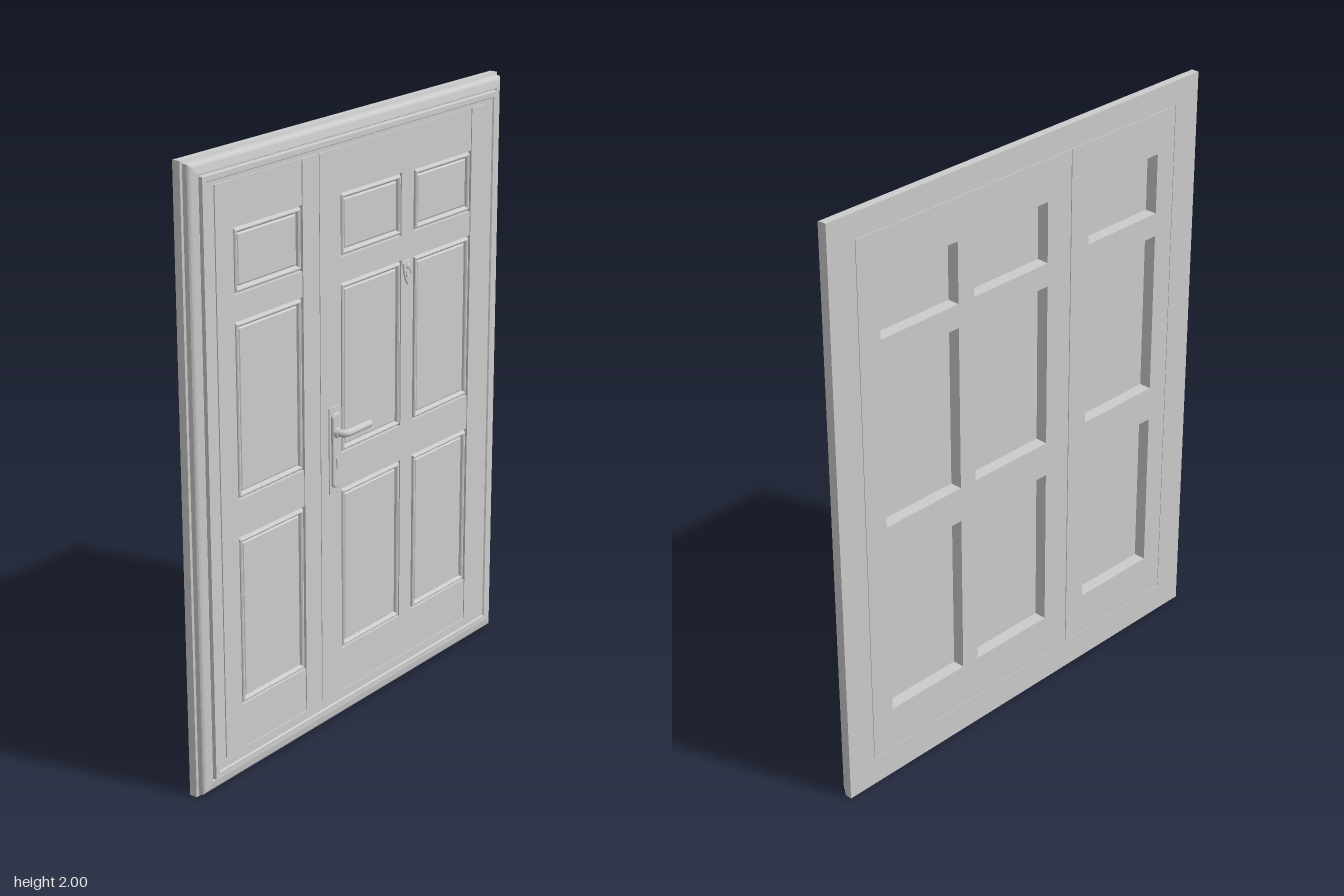
import * as THREE from 'three';

const mat = new THREE.MeshStandardMaterial({ color: 0xcccccc });

function add(parent, name, geo, x = 0, y = 0, z = 0) {
  const m = new THREE.Mesh(geo, mat);
  m.name = name;
  m.position.set(x, y, z);
  parent.add(m);
  return m;
}

// Box given by its limits
function board(parent, name, x0, x1, y0, y1, z0, z1) {
  return add(parent, name, new THREE.BoxGeometry(x1 - x0, y1 - y0, z1 - z0),
    (x0 + x1) / 2, (y0 + y1) / 2, (z0 + z1) / 2);
}

// Rectangular ring, inset from the limits, at depth z
function ring([x0, x1, y0, y1], inset, z) {
  const i = inset;
  return [[x0 + i, y0 + i, z], [x1 - i, y0 + i, z], [x1 - i, y1 - i, z], [x0 + i, y1 - i, z]];
}

// Mitred moulding: joins successive rings, optionally capped front and back
function mitred(rings, capped) {
  const pos = [];
  const quad = (a, b, c, d) => pos.push(...a, ...b, ...c, ...a, ...c, ...d);
  for (let r = 0; r < rings.length - 1; r++) {
    for (let k = 0; k < 4; k++) {
      const n = (k + 1) % 4;
      quad(rings[r][k], rings[r][n], rings[r + 1][n], rings[r + 1][k]);
    }
  }
  if (capped) {
    quad(...rings[rings.length - 1]);
    quad(...[...rings[0]].reverse());
  }
  const g = new THREE.BufferGeometry();
  g.setAttribute('position', new THREE.Float32BufferAttribute(pos, 3));
  g.computeVertexNormals();
  return g;
}

// Rectangle with rounded corners, extruded with a small bevel
function roundedPlate(w, h, r, depth, bevel) {
  const s = new THREE.Shape();
  const a = w / 2 - bevel, b = h / 2 - bevel;
  s.absarc(a - r, b - r, r, 0, Math.PI / 2);
  s.absarc(-a + r, b - r, r, Math.PI / 2, Math.PI);
  s.absarc(-a + r, -b + r, r, Math.PI, Math.PI * 1.5);
  s.absarc(a - r, -b + r, r, Math.PI * 1.5, Math.PI * 2);
  return new THREE.ExtrudeGeometry(s, {
    depth: depth - bevel, bevelEnabled: true, bevelSize: bevel, bevelThickness: bevel, bevelSegments: 3, curveSegments: 8,
  });
}

export function createModel() {
  const model = new THREE.Group();
  model.name = 'doubleDoor';
  // Built facing +z, then turned to face +x
  const door = new THREE.Group();
  door.name = 'door';
  door.rotation.y = Math.PI / 2;
  model.add(door);

  const back = -0.06;

  // Stepped casing around the leaves
  const outer = [-0.79, 0.79, 0, 2];
  const inner = [-0.685, 0.685, 0.1, 1.917];
  const casing = [
    [0, back], [0, -0.033], [0.008, -0.031], [0.01, -0.016], [0.014, -0.011], [0.02, -0.008],
    [0.044, -0.004], [0.046, -0.008], [0.05, -0.008], [0.052, 0.004], [0.068, 0.004], [0.071, -0.001],
  ].map(([i, z]) => ring(outer, i, z));
  casing.push(ring(inner, 0, -0.001), ring(inner, 0, back), ring(outer, 0, back));
  add(door, 'casing', mitred(casing, false));

  // Upright stiles of the narrow and the wide leaf
  for (const [x0, x1] of [[-0.683, -0.605], [-0.285, -0.206], [-0.203, -0.1], [0.6, 0.683]]) {
    board(door, 'stile', x0, x1, 0.102, 1.915, back, 0.001);
  }

  // Cross rails, slightly behind the stiles
  const leaves = [[-0.605, -0.285], [-0.1, 0.6]];
  for (const [x0, x1] of leaves) {
    for (const [y0, y1] of [[0.102, 0.25], [0.81, 0.93], [1.49, 1.57], [1.775, 1.915]]) {
      board(door, 'rail', x0, x1, y0, y1, back, -0.002);
    }
  }

  // Raised panels with mouldings; open pockets remain behind them
  const rows = [[0.25, 0.81], [0.93, 1.49], [1.57, 1.775]];
  const columns = [[-0.605, -0.285], [-0.1, 0.22], [0.285, 0.6]];
  const panelProfile = [
    [0, -0.018], [0, -0.011], [0.006, -0.011], [0.008, -0.002], [0.011, 0.001], [0.015, 0.001],
    [0.019, -0.003], [0.021, -0.01], [0.024, -0.01], [0.028, -0.005],
  ];
  for (const [y0, y1] of rows) {
    board(door, 'muntin', 0.22, 0.285, y0, y1, back, -0.003);
    for (const [x0, x1] of columns) {
      const rings = panelProfile.map(([i, z]) => ring([x0, x1, y0, y1], i, z));
      add(door, 'panel', mitred(rings, true));
    }
  }

  // Lever handle on its backplate
  const handle = new THREE.Group();
  handle.name = 'handle';
  handle.position.set(-0.137, 0, 0);
  door.add(handle);
  add(handle, 'backplate', roundedPlate(0.056, 0.29, 0.003, 0.005, 0.001), 0, 0.955, 0);
  add(handle, 'raisedPlate', roundedPlate(0.04, 0.25, 0.01, 0.014, 0.006), 0, 0.955, 0);
  add(handle, 'rosette', new THREE.CylinderGeometry(0.015, 0.018, 0.012, 24), 0, 1.015, 0.018).rotation.x = Math.PI / 2;
  const path = new THREE.CurvePath();
  const v = (x, z) => new THREE.Vector3(x, 1.015, z);
  path.add(new THREE.LineCurve3(v(0, 0.005), v(0, 0.02)));
  path.add(new THREE.QuadraticBezierCurve3(v(0, 0.02), v(0, 0.043), v(0.026, 0.043)));
  path.add(new THREE.LineCurve3(v(0.026, 0.043), v(0.128, 0.043)));
  add(handle, 'lever', new THREE.TubeGeometry(path, 40, 0.012, 16));
  add(handle, 'leverTip', new THREE.SphereGeometry(0.012, 16, 12), 0.128, 1.015, 0.043);
  // Lock cylinder
  add(handle, 'lockCylinder', new THREE.CylinderGeometry(0.009, 0.009, 0.006, 20), 0, 0.925, 0.015).rotation.x = Math.PI / 2;
  board(handle, 'lockTail', -0.004, 0.004, 0.895, 0.922, 0.01, 0.0165);

  // Small shield-shaped knocker with a ring
  const knocker = new THREE.Group();
  knocker.name = 'knocker';
  knocker.position.set(0.2525, 1.45, -0.003);
  door.add(knocker);
  const shield = new THREE.Shape();
  shield.moveTo(0, -0.045);
  shield.quadraticCurveTo(0.02, -0.02, 0.024, 0.025);
  shield.quadraticCurveTo(0.012, 0.036, 0, 0.034);
  shield.quadraticCurveTo(-0.012, 0.036, -0.024, 0.025);
  shield.quadraticCurveTo(-0.02, -0.02, 0, -0.045);
  add(knocker, 'knockerPlate', new THREE.ExtrudeGeometry(shield, {
    depth: 0.003, bevelEnabled: true, bevelSize: 0.002, bevelThickness: 0.002, bevelSegments: 2,
  }));
  const boss = add(knocker, 'knockerBoss', new THREE.SphereGeometry(0.012, 16, 12), 0, 0.015, 0.004);
  boss.scale.z = 0.5;
  add(knocker, 'knockerRing', new THREE.TorusGeometry(0.012, 0.0025, 8, 24), 0, -0.008, 0.006);

  return model;
}
